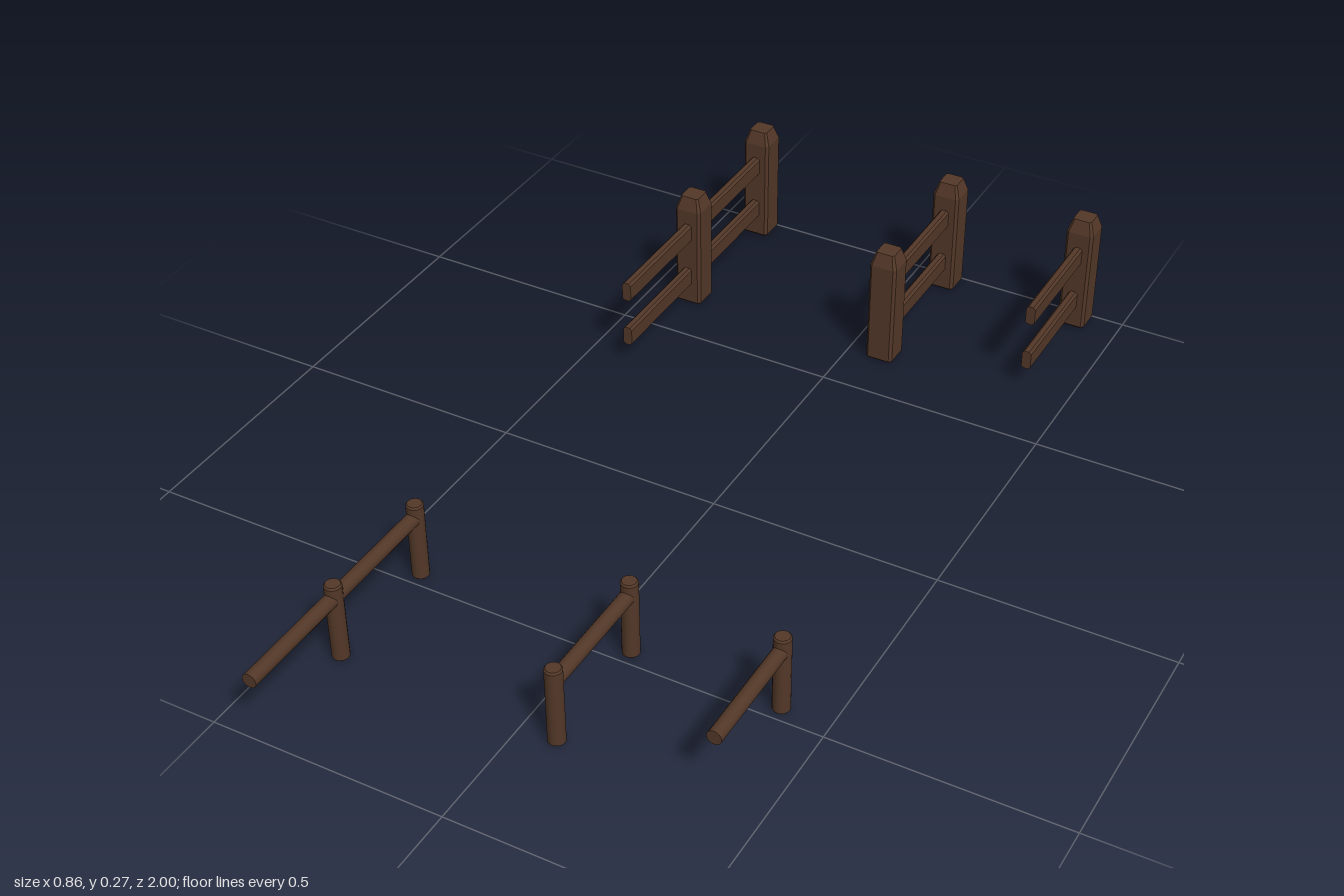
import * as THREE from 'three';

const wood = new THREE.MeshStandardMaterial({ color: 0x533828, flatShading: true });
const roundWood = new THREE.MeshStandardMaterial({ color: 0x533828 });

// Octagonal outline of a rectangle with cut corners
function outline(hx, hy, c) {
  return [[hx, -hy + c], [hx, hy - c], [hx - c, hy], [-hx + c, hy],
    [-hx, hy - c], [-hx, -hy + c], [-hx + c, -hy], [hx - c, -hy]];
}

// Solid along +z through sections [halfX, halfY, cornerCut, z], capped at both ends
function loft(sections) {
  const pos = [], index = [], n = 8;
  for (const [hx, hy, c, z] of sections) {
    for (const [x, y] of outline(hx, hy, c)) pos.push(x, y, z);
  }
  for (let s = 0; s < sections.length - 1; s++) {
    for (let i = 0; i < n; i++) {
      const a = s * n + i, b = s * n + (i + 1) % n;
      index.push(a, b, b + n, a, b + n, a + n);
    }
  }
  const top = (sections.length - 1) * n;
  for (let i = 1; i < n - 1; i++) {
    index.push(0, i + 1, i, top, top + i, top + i + 1);
  }
  const g = new THREE.BufferGeometry();
  g.setAttribute('position', new THREE.Float32BufferAttribute(pos, 3));
  g.setIndex(index);
  const flat = g.toNonIndexed();
  flat.computeVertexNormals();
  return flat;
}

function add(group, name, geometry, material, x, y, z) {
  const mesh = new THREE.Mesh(geometry, material);
  mesh.name = name;
  mesh.position.set(x, y, z);
  group.add(mesh);
}

// Square post with a tapered cap
const squarePost = loft([
  [0.026, 0.026, 0.004, 0], [0.031, 0.031, 0.006, 0.005],
  [0.031, 0.031, 0.006, 0.243], [0.021, 0.021, 0.004, 0.273],
]).rotateX(-Math.PI / 2);

// Flat plank running from z0 to z1
const plank = (z0, z1) => loft([[0.0105, 0.022, 0.005, z0], [0.0105, 0.022, 0.005, z1]]);

// Round post with small bevelled rims; doubled points keep the rims sharp
const profile = [[0, 0], [0.015, 0], [0.015, 0], [0.018, 0.003], [0.018, 0.003],
  [0.018, 0.176], [0.018, 0.176], [0.015, 0.18], [0.015, 0.18], [0, 0.18]];
const roundPost = new THREE.LatheGeometry(profile.map(([r, y]) => new THREE.Vector2(r, y)), 16);

// Round pole running from z0 to z1
const pole = (z0, z1) => new THREE.CylinderGeometry(0.0155, 0.0155, z1 - z0, 16)
  .rotateX(Math.PI / 2).translate(0, 0, (z0 + z1) / 2);

function plankFence(name, x, posts, z0, z1) {
  const g = new THREE.Group();
  g.name = name;
  for (const z of posts) add(g, 'squarePost', squarePost, wood, x, 0, z);
  add(g, 'upperPlank', plank(z0, z1), wood, x, 0.187, 0);
  add(g, 'lowerPlank', plank(z0, z1), wood, x, 0.072, 0);
  return g;
}

function poleFence(name, x, posts, z0, z1) {
  const g = new THREE.Group();
  g.name = name;
  for (const z of posts) add(g, 'roundPost', roundPost, roundWood, x, 0, z);
  add(g, 'pole', pole(z0, z1), roundWood, x, 0.147, 0);
  return g;
}

export function createModel() {
  const model = new THREE.Group();
  model.name = 'fenceSet';
  model.add(
    // Heavy plank fences at the back
    plankFence('longPlankFence', -0.4, [-0.969, -0.643], -0.969, -0.343),
    plankFence('closedPlankFence', 0.078, [-0.969, -0.643], -0.969, -0.643),
    plankFence('openPlankFence', 0.398, [-0.969], -0.969, -0.675),
    // Light pole fences at the front
    poleFence('longPoleFence', -0.4, [0.47, 0.74], 0.47, 1),
    poleFence('closedPoleFence', 0.078, [0.47, 0.74], 0.47, 0.74),
    poleFence('openPoleFence', 0.398, [0.47], 0.47, 0.73),
  );
  return model;
}
